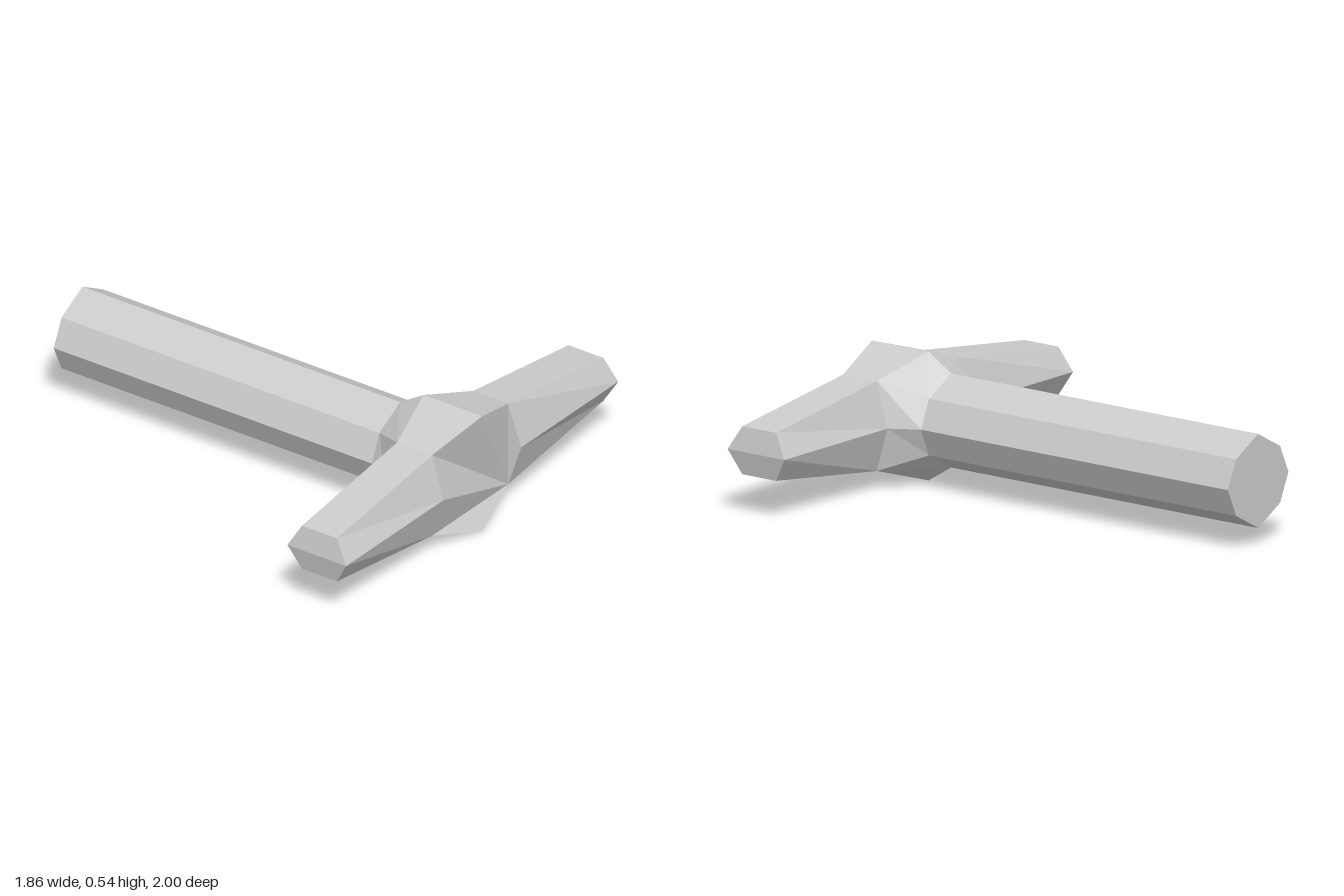
import * as THREE from 'three';

const MID = 0.27; // height of the centre line

// Flat-shaded mesh from polygons, each a counter-clockwise list of [x, y, z] corners
function polyMesh(name, polygons) {
  const pos = [];
  for (const p of polygons) {
    for (let i = 1; i < p.length - 1; i++) pos.push(...p[0], ...p[i], ...p[i + 1]);
  }
  const geometry = new THREE.BufferGeometry();
  geometry.setAttribute('position', new THREE.Float32BufferAttribute(pos, 3));
  geometry.computeVertexNormals();
  const mesh = new THREE.Mesh(geometry, new THREE.MeshStandardMaterial({ color: 0xcccccc, flatShading: true }));
  mesh.name = name;
  return mesh;
}

// Quads joining two rings of equal count; rings run counter-clockwise seen from ring b's side
function loft(a, b) {
  return a.map((p, i) => {
    const j = (i + 1) % a.length;
    return [p, a[j], b[j], b[i]];
  });
}

// Eight-cornered ring around z, counter-clockwise from the front, starting at the top
function octagon(top, [ux, uy, uz], [mx, mz], topZ) {
  return [
    [0, MID + top, topZ], [-ux, MID + uy, uz], [-mx, MID, mz], [-ux, MID - uy, uz],
    [0, MID - top, topZ], [ux, MID - uy, uz], [mx, MID, mz], [ux, MID + uy, uz],
  ];
}

// Six-cornered ring around x, counter-clockwise seen from +x
function hexagon(x, half, midX) {
  return [
    [x, MID + half, 0.94], [midX, MID, 1], [x, MID - half, 0.94],
    [x, MID - half, 0.765], [midX, MID, 0.706], [x, MID + half, 0.765],
  ];
}

export function createModel() {
  const group = new THREE.Group();

  // Long octagonal handle with a flat rear end
  const handleBack = octagon(0.196, [0.142, 0.118, -1], [0.195, -1], -1);
  const handleFront = octagon(0.196, [0.142, 0.118, 0.59], [0.195, 0.59], 0.59);
  group.add(polyMesh('handle', [...loft(handleBack, handleFront), [...handleBack].reverse()]));

  // Hub: flares from the handle, then runs forward above and below the arms
  const hubBack = octagon(0.268, [0.26, 0.187, 0.765], [0.266, 0.706], 0.706);
  const hubFront = octagon(0.268, [0.26, 0.187, 0.94], [0.266, 1], 1);
  const sides = loft(hubBack, hubFront).filter((_, i) => [0, 3, 4, 7].includes(i));
  const face = [[0, 1, 5], [0, 5, 7], [1, 2, 5], [2, 3, 5], [3, 4, 5], [7, 5, 6]]
    .map((t) => t.map((i) => hubFront[i]));
  group.add(polyMesh('hub', [...loft(handleFront, hubBack), ...sides, ...face]));

  // Tapered hexagonal arms with slightly pointed ends
  const root = hexagon(0.26, 0.187, 0.266);
  const tip = hexagon(0.91, 0.1, 0.93);
  const cap = [[0, 1, 4, 5], [1, 2, 3, 4]].map((q) => q.map((i) => tip[i]));
  const arm = [...loft(root, tip), ...cap].map((p) => [...p].reverse());
  const mirror = ([x, y, z]) => [-x, y, z];
  // The hexagon runs clockwise from +x, so the left arm uses the reversed polygons
  const outward = (polys) => {
    const [a, b, c] = polys[0].map((v) => new THREE.Vector3(...v));
    const n = b.clone().sub(a).cross(c.clone().sub(a));
    return n.dot(a.clone().sub(new THREE.Vector3(0.5, MID, 0.85))) > 0
      ? polys : polys.map((p) => [...p].reverse());
  };
  const left = outward(arm);
  group.add(polyMesh('leftArm', left));
  group.add(polyMesh('rightArm', left.map((p) => p.map(mirror).reverse())));

  return group;
}
